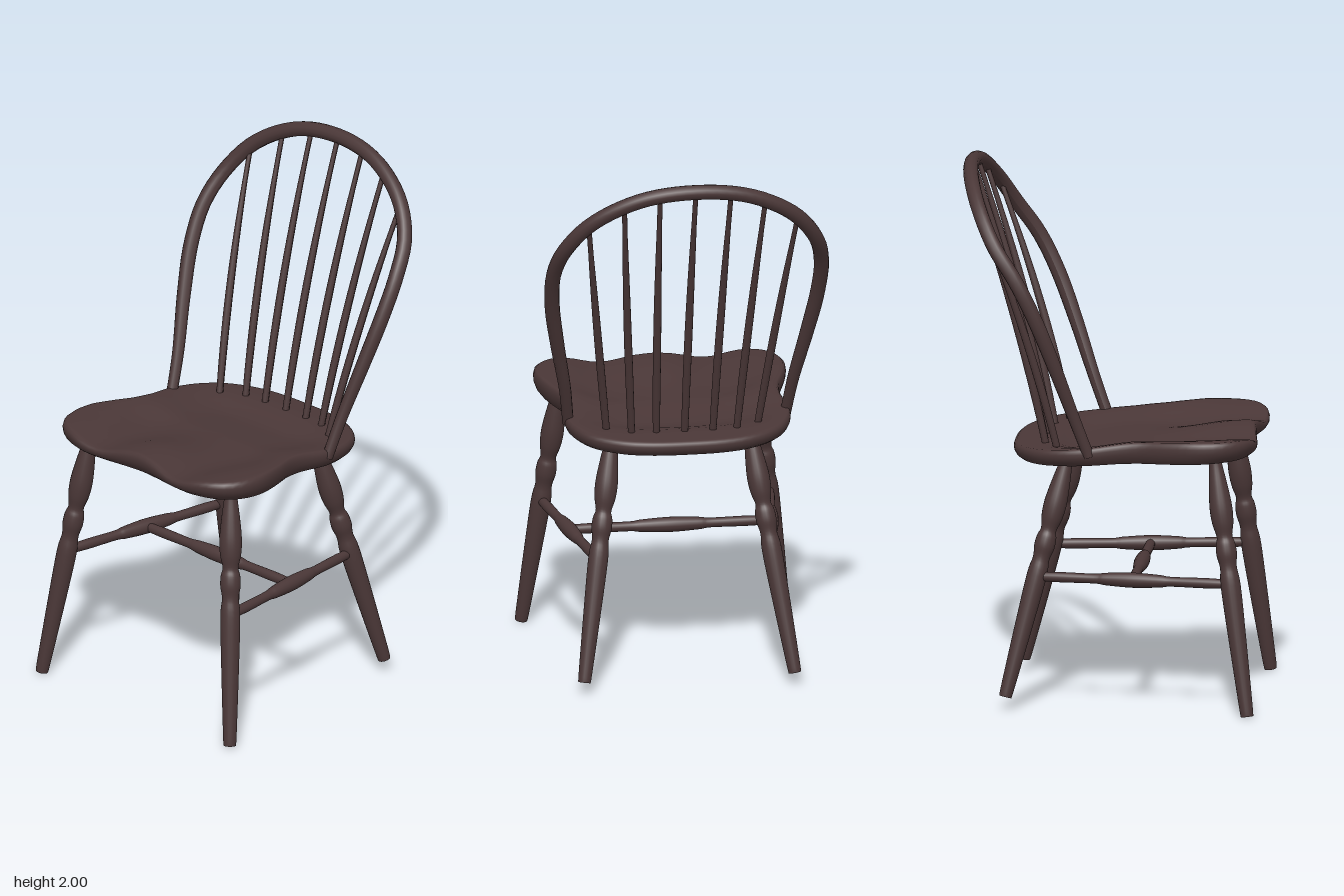
import * as THREE from 'three';

const V = (x, y, z) => new THREE.Vector3(x, y, z);
const smooth = THREE.MathUtils.smoothstep;

// Piecewise-linear lookup in a list of [position, value] pairs
function lookup(table, p) {
  if (p <= table[0][0]) return table[0][1];
  for (let i = 1; i < table.length; i++) {
    const [p0, v0] = table[i - 1], [p1, v1] = table[i];
    if (p <= p1) return v0 + (v1 - v0) * (p - p0) / (p1 - p0);
  }
  return table[table.length - 1][1];
}

// Turned wooden part between two points; profile is [fraction along, radius]
function turned(name, from, to, profile, material) {
  const dir = to.clone().sub(from), length = dir.length();
  const curve = new THREE.SplineCurve(profile.map(([t, r]) => new THREE.Vector2(r, t * length)));
  const pts = [new THREE.Vector2(0, 0), ...curve.getPoints(profile.length * 4), new THREE.Vector2(0, length)];
  const mesh = new THREE.Mesh(new THREE.LatheGeometry(pts, 20), material);
  mesh.quaternion.setFromUnitVectors(V(0, 1, 0), dir.normalize());
  mesh.position.copy(from);
  mesh.name = name;
  return mesh;
}

// Tube whose radius changes along its path
function taperedTube(name, curve, segments, radiusAt, material) {
  const sides = 12, geo = new THREE.TubeGeometry(curve, segments, 1, sides, false);
  const pos = geo.attributes.position, p = V(0, 0, 0);
  for (let i = 0; i <= segments; i++) {
    const centre = curve.getPointAt(i / segments);
    for (let j = 0; j <= sides; j++) {
      const k = i * (sides + 1) + j;
      p.fromBufferAttribute(pos, k).sub(centre).multiplyScalar(radiusAt(i / segments)).add(centre);
      pos.setXYZ(k, p.x, p.y, p.z);
    }
  }
  geo.computeVertexNormals();
  const mesh = new THREE.Mesh(geo, material);
  mesh.name = name;
  return mesh;
}

// Saddle seat: rings of one outline, from the underside centre over the rim to the top centre
function seatGeometry() {
  const half = [[0, -0.367], [0.14, -0.36], [0.25, -0.33], [0.35, -0.26], [0.405, -0.16], [0.42, -0.06],
    [0.405, 0.05], [0.41, 0.13], [0.44, 0.22], [0.464, 0.31], [0.467, 0.38], [0.45, 0.45], [0.4, 0.51],
    [0.3, 0.546], [0.2, 0.545], [0.1, 0.533], [0, 0.525]];
  const full = [...half, ...half.slice(1, -1).reverse().map(([x, z]) => [-x, z])];
  const n = 96, cz = 0.08;
  const outline = new THREE.CatmullRomCurve3(full.map(([x, z]) => V(x, 0, z)), true).getSpacedPoints(n);

  const rimTop = [[-0.37, 0.952], [-0.1, 0.976], [0.1, 1.003], [0.3, 1.016], [0.55, 1.018]];
  const under = [[-0.37, 0.893], [0, 0.915], [0.35, 0.93], [0.55, 0.942]];
  const topY = (x, z, s) => {
    const legDip = 0.033 * Math.exp(-(((Math.abs(x) - 0.2) / 0.11) ** 2)) * smooth(z, 0.05, 0.4);
    const scoop = 0.035 * (1 - smooth(s, 0.45, 0.95)) * (1 - smooth(z, 0.15, 0.5)) * smooth(z, -0.27, -0.1);
    return lookup(rimTop, z) - legDip - scoop;
  };
  // [scale of the outline, blend from underside (0) to top (1)]
  const rings = [[0.001, 0], [0.4, 0], [0.75, 0], [0.9, 0], [0.945, 0.04], [0.98, 0.25], [0.997, 0.5],
    [1, 0.72], [0.993, 0.9], [0.975, 1], [0.94, 1], [0.87, 1], [0.78, 1], [0.69, 1], [0.6, 1], [0.5, 1],
    [0.4, 1], [0.3, 1], [0.2, 1], [0.1, 1], [0.001, 1]];
  const verts = [], index = [];
  rings.forEach(([s, h], i) => {
    for (let j = 0; j < n; j++) {
      const x = outline[j].x * s, z = cz + (outline[j].z - cz) * s;
      verts.push(x, THREE.MathUtils.lerp(lookup(under, z), topY(x, z, s), h), z);
      if (i === rings.length - 1) continue;
      const a = i * n + j, b = i * n + (j + 1) % n;
      index.push(a, a + n, b, b, a + n, b + n);
    }
  });
  const geo = new THREE.BufferGeometry();
  geo.setAttribute('position', new THREE.Float32BufferAttribute(verts, 3));
  geo.setIndex(index);
  geo.computeVertexNormals();
  return geo;
}

export function createModel() {
  const model = new THREE.Group();
  model.name = 'chair';
  const wood = new THREE.MeshStandardMaterial({ color: 0x4a3737 });
  wood.name = 'dark brown wood';

  const seat = new THREE.Mesh(seatGeometry(), wood);
  seat.name = 'seat';
  model.add(seat);

  // Turned legs and side stretchers
  const legProfile = [[0, 0.022], [0.03, 0.025], [0.3, 0.033], [0.5, 0.037], [0.57, 0.031], [0.62, 0.038],
    [0.66, 0.036], [0.69, 0.029], [0.74, 0.039], [0.8, 0.042], [0.88, 0.035], [0.96, 0.025], [1, 0.023]];
  const stretcherProfile = [[0, 0.016], [0.12, 0.019], [0.3, 0.018], [0.36, 0.023], [0.5, 0.028],
    [0.64, 0.023], [0.7, 0.018], [0.88, 0.019], [1, 0.016]];
  for (const [side, s] of [['left', 1], ['right', -1]]) {
    model.add(
      turned(side + 'FrontLeg', V(s * 0.488, 0.003, 0.532), V(s * 0.362, 0.955, 0.4), legProfile, wood),
      turned(side + 'BackLeg', V(s * 0.392, 0.045, -0.37), V(s * 0.255, 0.93, -0.15), legProfile, wood),
      turned(side + 'Stretcher', V(s * 0.425, 0.485, 0.46), V(s * 0.328, 0.485, -0.26), stretcherProfile, wood));
  }
  model.add(turned('crossStretcher', V(-0.38, 0.485, 0.1), V(0.38, 0.485, 0.1), stretcherProfile, wood));

  // Bent bow of the back
  const bowHalf = [[0.405, 0.95, -0.06], [0.425, 1.1, -0.115], [0.465, 1.3, -0.185], [0.495, 1.48, -0.255],
    [0.498, 1.62, -0.325], [0.463, 1.74, -0.405], [0.37, 1.855, -0.467], [0.2, 1.945, -0.512]];
  const bowPoints = [...bowHalf.map(([x, y, z]) => V(-x, y, z)), V(0, 1.972, -0.527),
    ...bowHalf.slice().reverse().map(([x, y, z]) => V(x, y, z))];
  model.add(taperedTube('backBow', new THREE.CatmullRomCurve3(bowPoints), 80,
    (t) => 0.021 + 0.007 * smooth(Math.min(t, 1 - t), 0, 0.2), wood));

  // Seven slightly bent spindles: [base x, base z, top x, top y, top z]
  const spindles = [[0, -0.247, 0, 1.96, -0.52], [0.105, -0.245, 0.132, 1.95, -0.515],
    [0.195, -0.235, 0.262, 1.905, -0.495], [0.28, -0.185, 0.388, 1.825, -0.455]];
  spindles.forEach(([bx, bz, tx, ty, tz], i) => {
    for (const s of i ? [1, -1] : [1]) {
      const path = new THREE.QuadraticBezierCurve3(V(s * bx, 0.94, bz),
        V(s * (bx + tx) / 2, (0.94 + ty) / 2, (bz + tz) / 2 + 0.035), V(s * tx, ty, tz));
      model.add(taperedTube('spindle', path, 16,
        (t) => 0.0095 + 0.0055 * Math.sin(Math.PI * Math.min(1, t * 0.9 + 0.2)), wood));
    }
  });
  return model;
}
